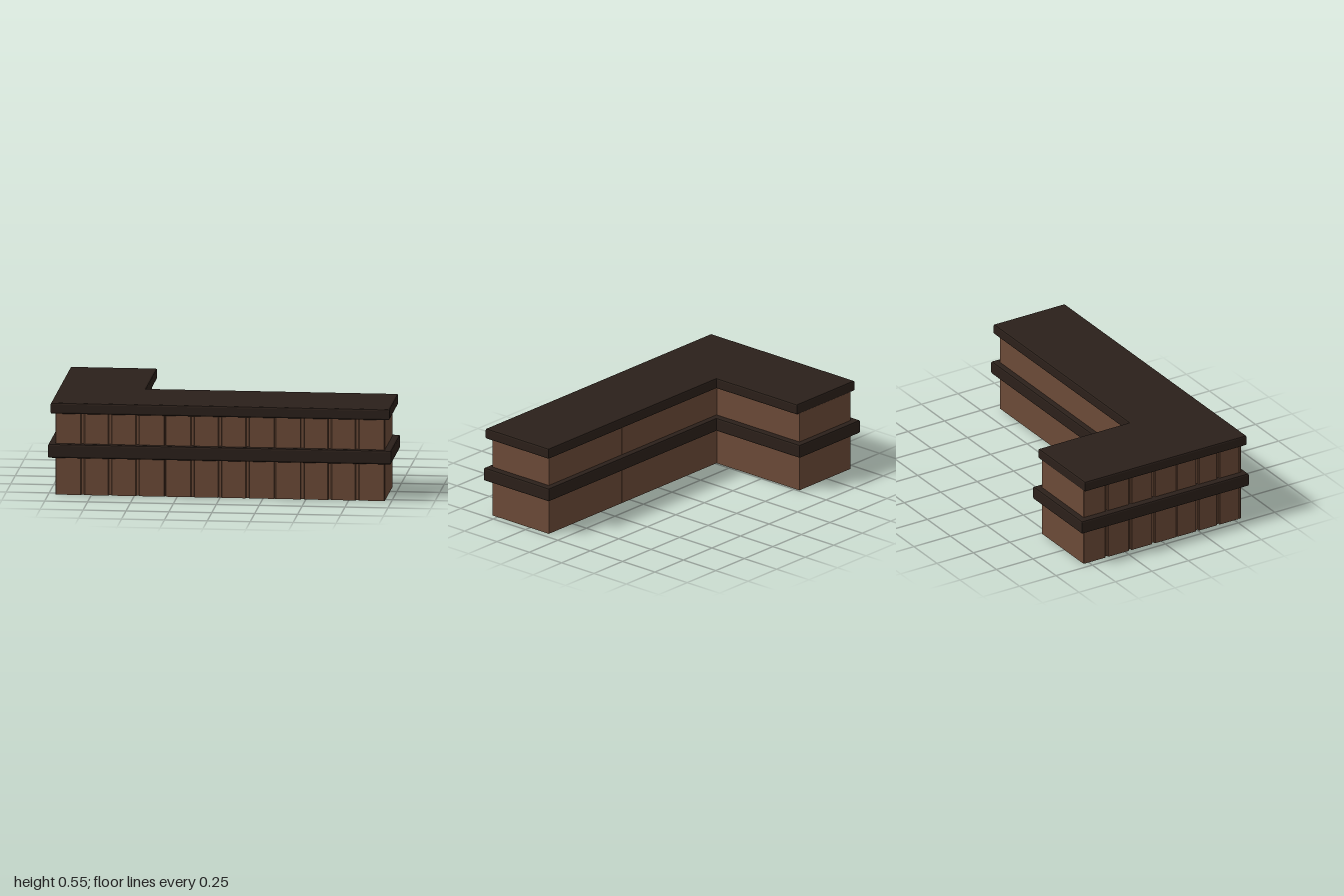
import * as THREE from 'three';

const wood = new THREE.MeshStandardMaterial({ color: 0x6b4a37 });
const darkWood = new THREE.MeshStandardMaterial({ color: 0x2b201a });

// Box given by its min and max corners
function block(name, [x0, y0, z0], [x1, y1, z1]) {
  const geo = new THREE.BoxGeometry(x1 - x0, y1 - y0, z1 - z0);
  geo.translate((x0 + x1) / 2, (y0 + y1) / 2, (z0 + z1) / 2);
  const mesh = new THREE.Mesh(geo, wood);
  mesh.name = name;
  return mesh;
}

// L-shaped slab with softened edges; innerX and innerZ locate the inside corner
function lSlab(name, left, right, front, back, innerX, innerZ, y0, y1) {
  const bevel = 0.01;
  const outline = [
    [left, front], [right, front], [right, innerZ],
    [innerX, innerZ], [innerX, back], [left, back],
  ].map(([x, z]) => new THREE.Vector2(x, -z));
  const geo = new THREE.ExtrudeGeometry(new THREE.Shape(outline), {
    depth: y1 - y0 - 2 * bevel, bevelSize: bevel, bevelThickness: bevel,
    bevelOffset: -bevel, bevelSegments: 2,
  });
  geo.rotateX(-Math.PI / 2).translate(0, y0 + bevel, 0);
  const mesh = new THREE.Mesh(geo, darkWood);
  mesh.name = name;
  return mesh;
}

// Upright plank with bevelled long edges, facing +z, centred on x
function plankGeometry(width, height, depth) {
  const w = width / 2, c = 0.004;
  const section = new THREE.Shape([
    [-w, 0], [w, 0], [w, -depth + c], [w - c, -depth], [-w + c, -depth], [-w, -depth + c],
  ].map(([x, y]) => new THREE.Vector2(x, y)).reverse());
  const geo = new THREE.ExtrudeGeometry(section, { depth: height, bevelEnabled: false });
  return geo.rotateX(-Math.PI / 2);
}

export function createModel() {
  const group = new THREE.Group();
  const H = 0.48, left = -0.96, right = 0.96, front = 0.545, back = -0.535;
  const innerX = -0.51, innerZ = 0.105, recess = 0.014, seam = 0.0015;

  // Cabinet blocks: three along the front, one behind the corner
  const cabinets = new THREE.Group();
  cabinets.name = 'cabinets';
  for (let i = 0; i < 3; i++) {
    const x0 = i === 0 ? left + recess : left + i * 0.64 + seam;
    const x1 = i === 2 ? right : left + (i + 1) * 0.64 - seam;
    cabinets.add(block('frontCabinet', [x0, 0, innerZ], [x1, H, front - recess]));
  }
  cabinets.add(block('returnCabinet', [left + recess, 0, back], [innerX, H, innerZ - 2 * seam]));
  group.add(cabinets);

  // Planks on the front face, with narrow gaps at cabinet joints
  const planks = new THREE.Group();
  planks.name = 'planks';
  const gap = 0.016;
  for (let i = 0; i < 12; i++) {
    const x0 = left + i * 0.16 + (i % 4 === 0 ? (i ? seam : 0) : gap / 2);
    const x1 = left + (i + 1) * 0.16 - (i % 4 === 3 ? (i < 11 ? seam : 0) : gap / 2);
    const plank = new THREE.Mesh(plankGeometry(x1 - x0, H, recess), wood);
    plank.position.set((x0 + x1) / 2, 0, front - recess);
    plank.name = 'frontPlank';
    planks.add(plank);
  }

  // Planks on the outer left-hand face: the corner cabinet, then the return
  for (const [z0, z1, count] of [[innerZ, front - recess, 3], [back, innerZ, 4]]) {
    const step = (z1 - z0) / count;
    for (let i = 0; i < count; i++) {
      const a = z0 + i * step + (i ? gap / 2 : 0);
      const b = z0 + (i + 1) * step - (i < count - 1 ? gap / 2 : seam);
      const plank = new THREE.Mesh(plankGeometry(b - a, H, recess), wood);
      plank.rotation.y = -Math.PI / 2;
      plank.position.set(left + recess, 0, (a + b) / 2);
      plank.name = 'sidePlank';
      planks.add(plank);
    }
  }
  group.add(planks);

  // Rail around the middle and the countertop
  group.add(lSlab('middleRail', -1, 1, 0.572, -0.572, -0.47, 0.07, 0.22, 0.302));
  group.add(lSlab('countertop', -0.985, 0.99, 0.567, -0.542, -0.48, 0.08, 0.48, 0.545));
  return group;
}
